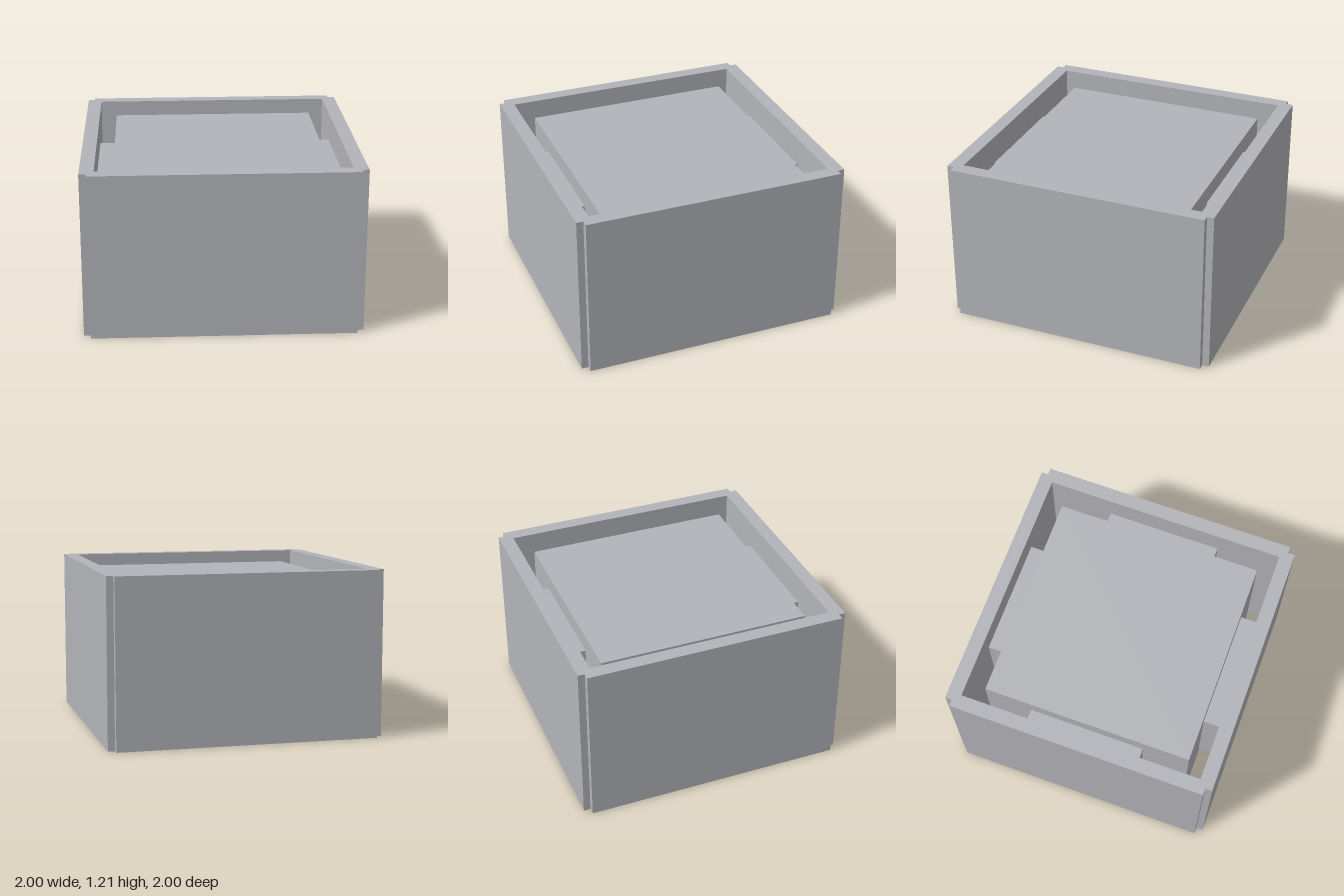
import * as THREE from 'three';

export function createModel() {
  const model = new THREE.Group();
  const grey = new THREE.MeshStandardMaterial({ color: 0xb3b4b9 });
  grey.name = 'grey';

  const H = 1.21; // overall height

  // Square outer shell, open top and bottom, with a small square notch at each corner
  const a = 1, n = 0.95, w = 0.897;
  const outline = new THREE.Shape([
    [n, -a], [n, -n], [a, -n], [a, n], [n, n], [n, a],
    [-n, a], [-n, n], [-a, n], [-a, -n], [-n, -n], [-n, -a],
  ].map(([x, y]) => new THREE.Vector2(x, y)));
  outline.holes.push(new THREE.Path(
    [[-w, -w], [-w, w], [w, w], [w, -w]].map(([x, y]) => new THREE.Vector2(x, y))
  ));
  const shellGeometry = new THREE.ExtrudeGeometry(outline, { depth: H, bevelEnabled: false });
  shellGeometry.rotateX(-Math.PI / 2);
  const shell = new THREE.Mesh(shellGeometry, grey);
  shell.name = 'outerShell';
  model.add(shell);

  // Inner block, recessed below the rim and above the floor
  const coreTop = 1.13, coreBottom = 0.18, coreHalf = 0.773;
  const core = new THREE.Mesh(
    new THREE.BoxGeometry(coreHalf * 2, coreTop - coreBottom, coreHalf * 2), grey);
  core.position.y = (coreTop + coreBottom) / 2;
  core.name = 'innerBlock';
  model.add(core);

  // Four spacers joining the inner block to the shell walls
  const spacerGeometry = new THREE.BoxGeometry(0.86, 0.7, w - coreHalf);
  spacerGeometry.translate(0, core.position.y, (w + coreHalf) / 2);
  for (let i = 0; i < 4; i++) {
    const spacer = new THREE.Mesh(spacerGeometry, grey);
    spacer.rotation.y = i * Math.PI / 2;
    spacer.name = 'spacer' + (i + 1);
    model.add(spacer);
  }

  return model;
}
